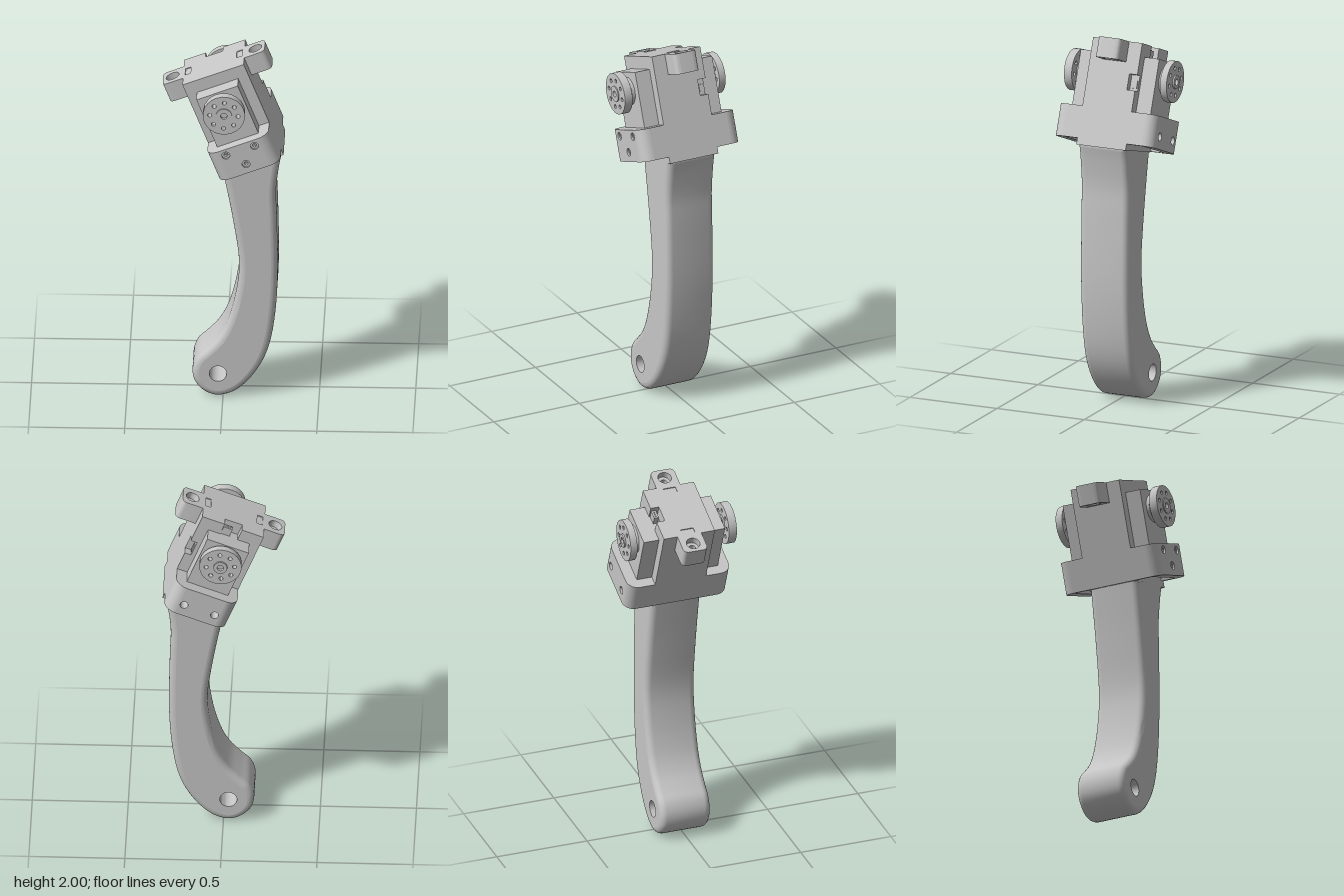
import * as THREE from 'three';
import { toCreasedNormals } from 'three/addons/utils/BufferGeometryUtils.js';

export function createModel() {
  const grey = new THREE.MeshStandardMaterial({ color: 0xc6c6c6 });
  grey.name = 'light grey';
  const model = new THREE.Group();
  model.name = 'servoLeg';

  // Tilted head: local x across, y up along the body, z to the front
  const head = new THREE.Group();
  head.name = 'head';
  head.position.set(0.01, 1.738, -0.01);
  head.rotation.z = THREE.MathUtils.degToRad(21.5);
  model.add(head);

  const add = (parent, name, geo) => {
    const mesh = new THREE.Mesh(geo, grey);
    mesh.name = name;
    parent.add(mesh);
  };
  const box = (name, x0, x1, y0, y1, z0, z1) => add(head, name,
    new THREE.BoxGeometry(x1 - x0, y1 - y0, z1 - z0)
      .translate((x0 + x1) / 2, (y0 + y1) / 2, (z0 + z1) / 2));
  const poly = (pts) => new THREE.Shape(pts.map(([x, y]) => new THREE.Vector2(x, y)));
  const circle = (x, y, r) => new THREE.Shape().absarc(x, y, r, 0, Math.PI * 2, false);
  const rect = (x0, x1, y0, y1) => poly([[x0, y0], [x1, y0], [x1, y1], [x0, y1]]);
  const extrude = (shape, depth) => toCreasedNormals(new THREE.ExtrudeGeometry(shape,
    { depth, bevelEnabled: false, curveSegments: 12 }), 0.7);
  // Slab with a plan outline in x and z
  const slab = (name, shape, y0, y1) => add(head, name,
    extrude(shape, y1 - y0).rotateX(Math.PI / 2).translate(0, y1, 0));
  // Plate with a face outline in x and y
  const plate = (name, shape, z0, z1) => add(head, name,
    extrude(shape, z1 - z0).translate(0, 0, z0));
  const disc = (name, r, z0, z1, sides = 24) => add(head, name,
    new THREE.CylinderGeometry(r, r, z1 - z0, sides)
      .rotateX(Math.PI / 2).translate(0, 0, (z0 + z1) / 2));

  // Housing in layers, with a cable notch in the top and one in the side
  const W = 0.171, D = 0.141, N = -0.095;
  const notched = () => poly([[-W, -D], [-0.05, -D], [-0.05, N], [0.046, N],
    [0.046, -D], [W, -D], [W, D], [-W, D]]);
  const cap = notched();
  for (const x of [-0.145, 0.143]) cap.holes.push(rect(x - 0.016, x + 0.016, -0.035, 0.035));
  slab('housingTop', cap, 0.162, 0.167);
  slab('housingUpper', notched(), 0.1, 0.162);
  box('housingMiddle', -W, W, 0, 0.1, -D, D);
  slab('housingNotched', poly([[-W, -D], [W - 0.035, -D], [W - 0.035, N], [W, N], [W, D], [-W, D]]),
    -0.085, 0);
  plate('housingLower', poly([[-W, -0.365], [W, -0.4], [W, -0.085], [-W, -0.085]]), -D, D);

  // Cable plugs in the notches
  box('topPlug', -0.005, 0.044, 0.1, 0.145, -0.135, -0.11);
  for (let i = 0; i < 3; i++) {
    const x = 0.004 + i * 0.013;
    box('plugPin', x, x + 0.006, 0.14, 0.149, -0.126, -0.12);
  }
  box('sidePlug', 0.13, 0.142, -0.07, -0.03, -0.135, -0.11);

  // Mounting ears with a counterbore, a screw hole and a nut pocket
  const ear = (s, hole) => {
    const r = 0.03, h = 0.066, e = 0.285;
    const shape = new THREE.Shape();
    shape.moveTo(s * 0.16, -h);
    shape.lineTo(s * (e - r), -h);
    shape.quadraticCurveTo(s * e, -h, s * e, -h + r);
    shape.lineTo(s * e, h - r);
    shape.quadraticCurveTo(s * e, h, s * (e - r), h);
    shape.lineTo(s * 0.16, h);
    shape.holes.push(hole);
    return shape;
  };
  for (const s of [-1, 1]) {
    const x = s * 0.231;
    const hex = poly(Array.from({ length: 6 }, (_, i) =>
      [x + 0.04 * Math.cos(i * Math.PI / 3), 0.04 * Math.sin(i * Math.PI / 3)]));
    slab('earTop', ear(s, circle(x, 0, 0.036)), 0.13, 0.167);
    slab('earMiddle', ear(s, circle(x, 0, 0.018)), 0.09, 0.13);
    slab('earBottom', ear(s, hex), 0.059, 0.09);
  }

  // Servo passing through the housing
  box('servo', -0.117, 0.114, -0.21, 0.1, -0.225, 0.225);
  disc('frontBoss', 0.073, 0.22, 0.242);
  disc('frontSpline', 0.034, 0.24, 0.262, 20);
  disc('frontFlange', 0.048, 0.252, 0.262);
  disc('rearBoss', 0.076, -0.243, -0.22);
  disc('rearSpline', 0.05, -0.25, -0.238);

  // Round horns with a ring of screw holes and a raised hub
  const horn = (name, z0, z1, hub0, hub1, hubRadius) => {
    const shape = circle(0, 0, 0.11);
    for (let i = 0; i < 8; i++) {
      const a = i * Math.PI / 4 + 0.375;
      shape.holes.push(circle(0.074 * Math.cos(a), 0.074 * Math.sin(a), 0.011));
    }
    shape.holes.push(circle(0, 0, 0.03));
    plate(name, shape, z0, z1);
    const ring = circle(0, 0, hubRadius);
    ring.holes.push(circle(0, 0, 0.017));
    plate(name + 'Hub', ring, hub0, hub1);
    disc(name + 'Screw', 0.02, (z0 + z1) / 2 - 0.012, (z0 + z1) / 2 + 0.012, 12);
  };
  horn('frontHorn', 0.26, 0.304, 0.255, 0.31, 0.042);
  horn('rearHorn', -0.284, -0.247, -0.293, -0.245, 0.036);

  // Bracket wings: inner block above a pocket, round corners, drilled outer wall
  const top = -0.195, low = -0.365, R = 0.06, Z = 0.285;
  const frontHoles = [[-0.08, -0.23], [0.08, -0.23], [0, -0.313]];
  const rearHoles = [[-0.085, -0.3], [0.085, -0.3]];
  for (const s of [-1, 1]) {
    const zs = (a, b) => [Math.min(s * a, s * b), Math.max(s * a, s * b)];
    box('wingBlock', -W, W, -0.325, top, ...zs(0.13, Z - R));
    box('wingEnd', 0.145, W, low, -0.325, ...zs(0.13, Z - R));
    box('wingLip', -W, -W + 0.02, low, -0.325, ...zs(0.13, Z - R));
    const wall = rect(-W + R, W - R, low, top);
    for (const [x, y] of s > 0 ? frontHoles : rearHoles) {
      wall.holes.push(circle(x, y, 0.021));
      if (s < 0) continue;
      const ring = circle(x, y, 0.0212);
      ring.holes.push(circle(x, y, 0.01));
      plate('screwSeat', ring, Z - 0.03, Z - 0.01);
    }
    plate('wingWall', wall, ...zs(Z - R, Z));
    for (const t of [-1, 1]) {
      const corner = new THREE.Shape();
      const cx = t * (W - R), cz = s * (Z - R);
      corner.moveTo(cx, cz);
      for (let i = 0; i <= 8; i++) {
        const a = i * Math.PI / 16;
        corner.lineTo(cx + t * R * Math.cos(a), cz + s * R * Math.sin(a));
      }
      slab('wingCorner', corner, low, top);
    }
  }

  // Curved leg outline, clockwise from the top of the outer side
  const leg = new THREE.Shape();
  leg.moveTo(0.288, 1.47);
  leg.lineTo(0.306, 1.425);
  leg.splineThru([[0.29, 1.34], [0.275, 1.2], [0.28, 1.03], [0.284, 0.7], [0.266, 0.44],
    [0.227, 0.257], [0.157, 0.125], [0.07, 0.036], [-0.02, 0.003], [-0.095, 0.025],
    [-0.147, 0.083], [-0.159, 0.155], [-0.135, 0.222], [-0.085, 0.272], [-0.025, 0.34],
    [0.025, 0.44], [0.066, 0.6], [0.083, 0.79], [0.048, 1.05], [0.005, 1.28], [-0.008, 1.345]]
    .map(([x, y]) => new THREE.Vector2(x, y)));
  leg.lineTo(0.0, 1.37);
  const outline = leg.getPoints(4);
  const n = outline.length;
  const inset = (d) => outline.map((p, i) => {
    const t = outline[(i + 1) % n].clone().sub(outline[(i + n - 1) % n]).normalize();
    return new THREE.Vector2(p.x + t.y * d, p.y - t.x * d);
  });

  // Rounded rim swept from the front face to the back face
  const B = 0.035, half = 0.139, steps = 5, rings = [];
  for (let i = 0; i <= steps; i++) {
    const a = i * Math.PI / 2 / steps;
    rings.push([inset(B * (1 - Math.sin(a))), half - B + B * Math.cos(a)]);
  }
  for (let i = steps; i >= 0; i--) rings.push([rings[i][0], -rings[i][1]]);
  const pos = [], idx = [];
  rings.forEach(([pts, z]) => pts.forEach((p) => pos.push(p.x, p.y, z)));
  for (let r = 0; r + 1 < rings.length; r++) for (let i = 0; i < n; i++) {
    const a = r * n + i, b = r * n + (i + 1) % n, c = a + n, d = b + n;
    idx.push(a, b, c, b, d, c);
  }
  const rim = new THREE.BufferGeometry();
  rim.setAttribute('position', new THREE.Float32BufferAttribute(pos, 3));
  rim.setIndex(idx);
  const legGroup = new THREE.Group();
  legGroup.name = 'leg';
  legGroup.position.z = -0.008;
  model.add(legGroup);
  add(legGroup, 'legRim', toCreasedNormals(rim, 0.7));

  // Flat faces of the leg with the pivot bore through them
  const face = new THREE.Shape(rings[0][0]);
  face.holes.push(circle(-0.026, 0.14, 0.045));
  add(legGroup, 'legCore', extrude(face, half * 2).translate(0, 0, -half));

  return model;
}
